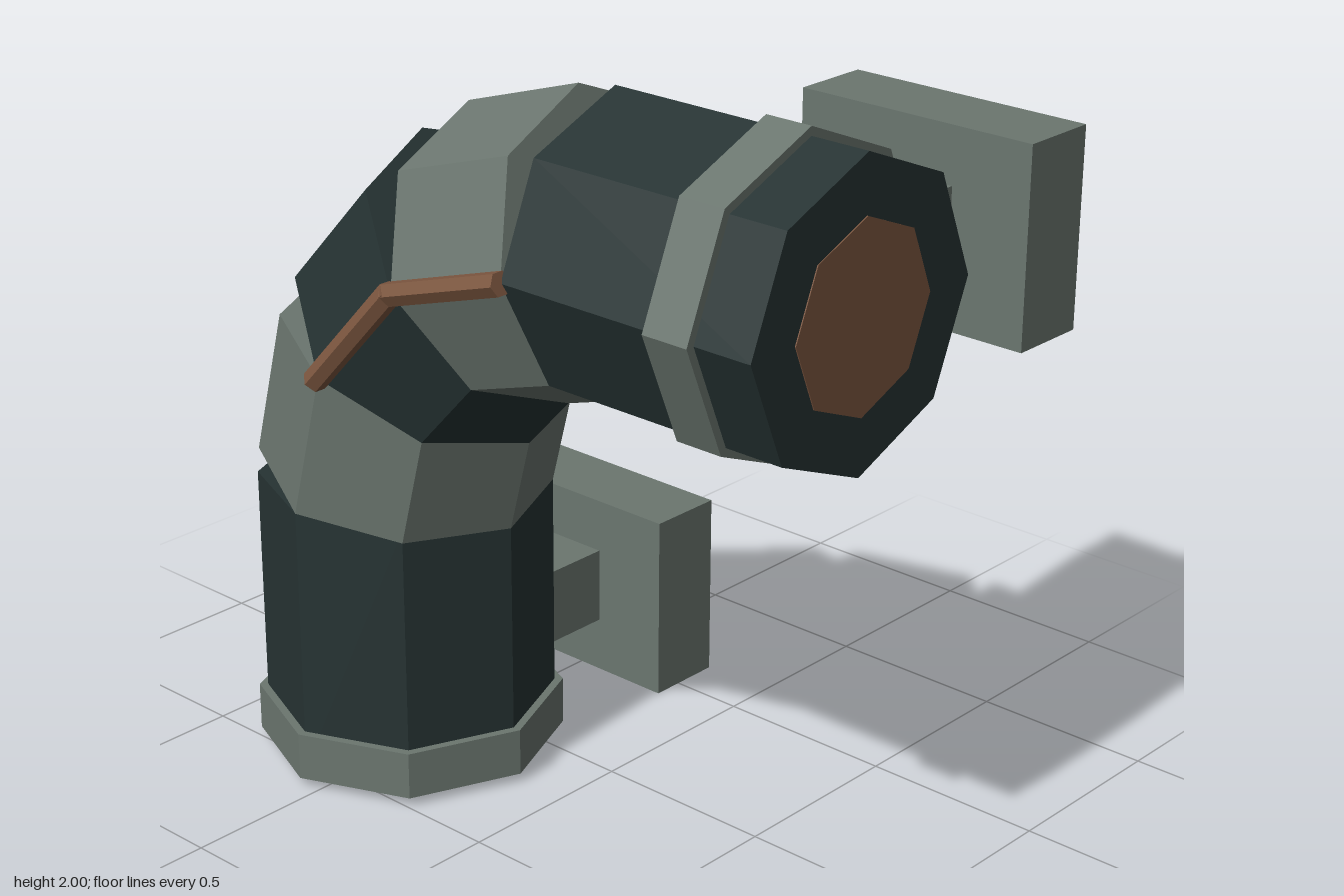
import * as THREE from 'three';

function flat(name, color) {
  const m = new THREE.MeshStandardMaterial({ color, flatShading: true });
  m.name = name;
  return m;
}

export function createModel() {
  const dark = flat('dark metal', 0x263333);
  const grey = flat('grey metal', 0x6b766f);
  const copper = flat('copper', 0x7d5740);
  const model = new THREE.Group();
  model.name = 'pipeElbow';
  const Z = 0.205; // depth of the pipe axis

  // Prism running from point a to point b, both [x, y], at depth z
  function prism(name, a, b, radius, material, sides = 8, z = Z, extra = 0) {
    const dx = b[0] - a[0], dy = b[1] - a[1];
    const geo = new THREE.CylinderGeometry(radius, radius, Math.hypot(dx, dy) + extra, sides);
    const mesh = new THREE.Mesh(geo, material);
    mesh.name = name;
    mesh.position.set((a[0] + b[0]) / 2, (a[1] + b[1]) / 2, z);
    mesh.rotation.z = Math.atan2(dy, dx) - Math.PI / 2;
    model.add(mesh);
  }

  function box(name, x0, x1, y0, y1, z0, z1) {
    const mesh = new THREE.Mesh(new THREE.BoxGeometry(x1 - x0, y1 - y0, z1 - z0), grey);
    mesh.name = name;
    mesh.position.set((x0 + x1) / 2, (y0 + y1) / 2, (z0 + z1) / 2);
    model.add(mesh);
  }

  // Axis of the pipe: upright, three elbow segments, then level
  const path = [[-0.55, 0.05], [-0.55, 0.783], [-0.443, 1.183], [-0.17, 1.475], [0.2, 1.592], [0.95, 1.592]];
  const names = ['lowerPipe', 'elbowSegmentLow', 'elbowSegmentMiddle', 'elbowSegmentHigh', 'upperPipe'];
  names.forEach((name, i) => {
    prism(name, path[i], path[i + 1], 0.388, i % 2 ? grey : dark);
    // Inner core, showing as a thin disc on the end faces
    prism(name + 'Core', path[i], path[i + 1], 0.24, copper, 8, Z, 0.006);
  });

  // Collars
  prism('baseCollar', [-0.55, 0.025], [-0.55, 0.155], 0.411, grey);
  prism('upperCollar', [0.657, 1.592], [0.788, 1.592], 0.411, grey);

  // Copper rods along the front of the elbow
  prism('rodLow', path[2], path[3], 0.032, copper, 6, 0.598, 0.02);
  prism('rodHigh', path[3], path[4], 0.032, copper, 6, 0.598, 0.01);

  // Wall mounts behind the pipe
  box('lowerMountStem', -0.67, -0.43, 0.155, 0.37, -0.42, -0.08);
  box('lowerMountPlate', -0.895, -0.205, 0, 0.522, -0.632, -0.415);
  box('upperMountStem', 0.485, 0.725, 1.48, 1.7, -0.42, -0.08);
  box('upperMountPlate', 0.26, 0.95, 1.33, 1.852, -0.632, -0.415);

  return model;
}
